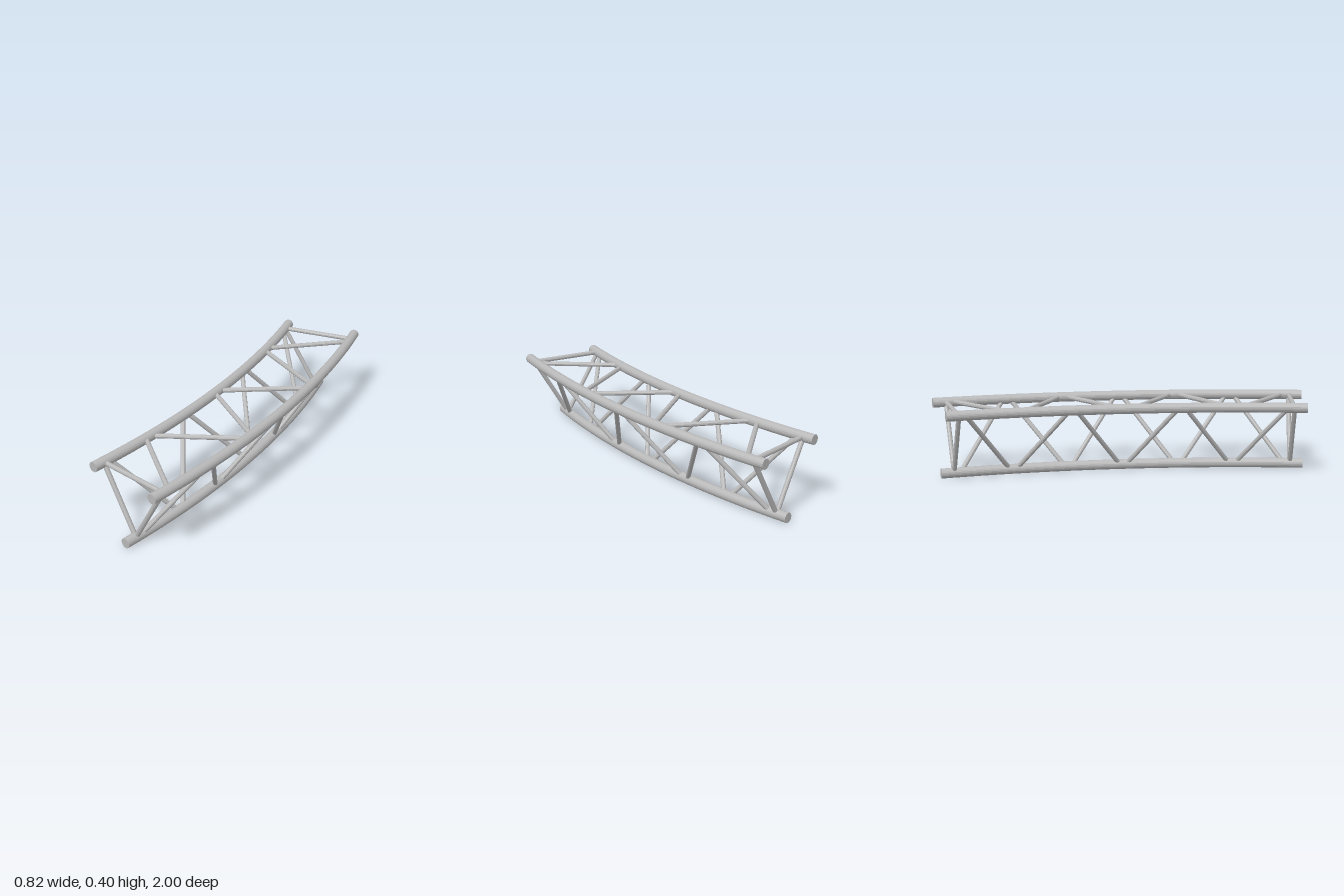
import * as THREE from 'three';

const SWEEP = THREE.MathUtils.degToRad(22.5);
const CENTRE_X = -4.819;
const CHORD_R = 0.0265;
const BAR_R = 0.0125;

// The three chords are concentric arcs
const CHORDS = {
  inner: { radius: 4.8, y: 0.37 },
  outer: { radius: 5.2, y: 0.37 },
  lower: { radius: 5.0, y: CHORD_R },
};

// Point on a chord's axis at an angle from the front end
function pointOn(chord, angle) {
  const { radius, y } = CHORDS[chord];
  return new THREE.Vector3(CENTRE_X + radius * Math.cos(angle), y, 1 - radius * Math.sin(angle));
}

// Angle of bracing node k (0..6); side shifts it slightly so bars meet side by side
function nodeAngle(k, side) {
  return THREE.MathUtils.degToRad(0.99 + 3.42 * k + 0.2 * side);
}

export function createModel() {
  const model = new THREE.Group();
  model.name = 'curvedTruss';
  const metal = new THREE.MeshStandardMaterial({ color: 0xb8b8b8, flatShading: true });
  metal.name = 'aluminium';

  // Curved chord tubes with flat end caps
  for (const name of Object.keys(CHORDS)) {
    const group = new THREE.Group();
    group.name = name + 'Chord';
    const { radius, y } = CHORDS[name];
    const geo = new THREE.TorusGeometry(radius, CHORD_R, 20, 24, SWEEP);
    geo.rotateX(-Math.PI / 2);
    const tube = new THREE.Mesh(geo, metal);
    tube.name = name + 'Tube';
    tube.position.set(CENTRE_X, y, 1);
    group.add(tube);
    for (const [label, angle, turn] of [['Front', 0, 0], ['Back', SWEEP, SWEEP + Math.PI]]) {
      const cap = new THREE.Mesh(new THREE.CircleGeometry(CHORD_R, 20), metal);
      cap.name = name + label + 'Cap';
      cap.position.copy(pointOn(name, angle));
      cap.rotation.y = turn;
      group.add(cap);
    }
    model.add(group);
  }

  // Straight round bar between two chord points
  function addBar(name, a, b) {
    const dir = b.clone().sub(a);
    const bar = new THREE.Mesh(new THREE.CylinderGeometry(BAR_R, BAR_R, dir.length(), 10), metal);
    bar.name = name;
    bar.position.copy(a).add(b).multiplyScalar(0.5);
    bar.quaternion.setFromUnitVectors(new THREE.Vector3(0, 1, 0), dir.normalize());
    model.add(bar);
  }

  // Each face: a zigzag of diagonals closed by a straight bar at both ends
  const faces = [
    ['top', 'outer', 'inner'],
    ['outerSide', 'lower', 'outer'],
    ['innerSide', 'inner', 'lower'],
  ];
  for (const [face, even, odd] of faces) {
    for (let k = 0; k < 6; k++) {
      const [from, to] = k % 2 === 0 ? [even, odd] : [odd, even];
      addBar(face + 'Diagonal', pointOn(from, nodeAngle(k, 1)), pointOn(to, nodeAngle(k + 1, -1)));
    }
    for (const [label, k, side] of [['Front', 0, -1], ['Back', 6, 1]]) {
      const angle = nodeAngle(k, side);
      addBar(face + label + 'Strut', pointOn(even, angle), pointOn(odd, angle));
    }
  }
  return model;
}
